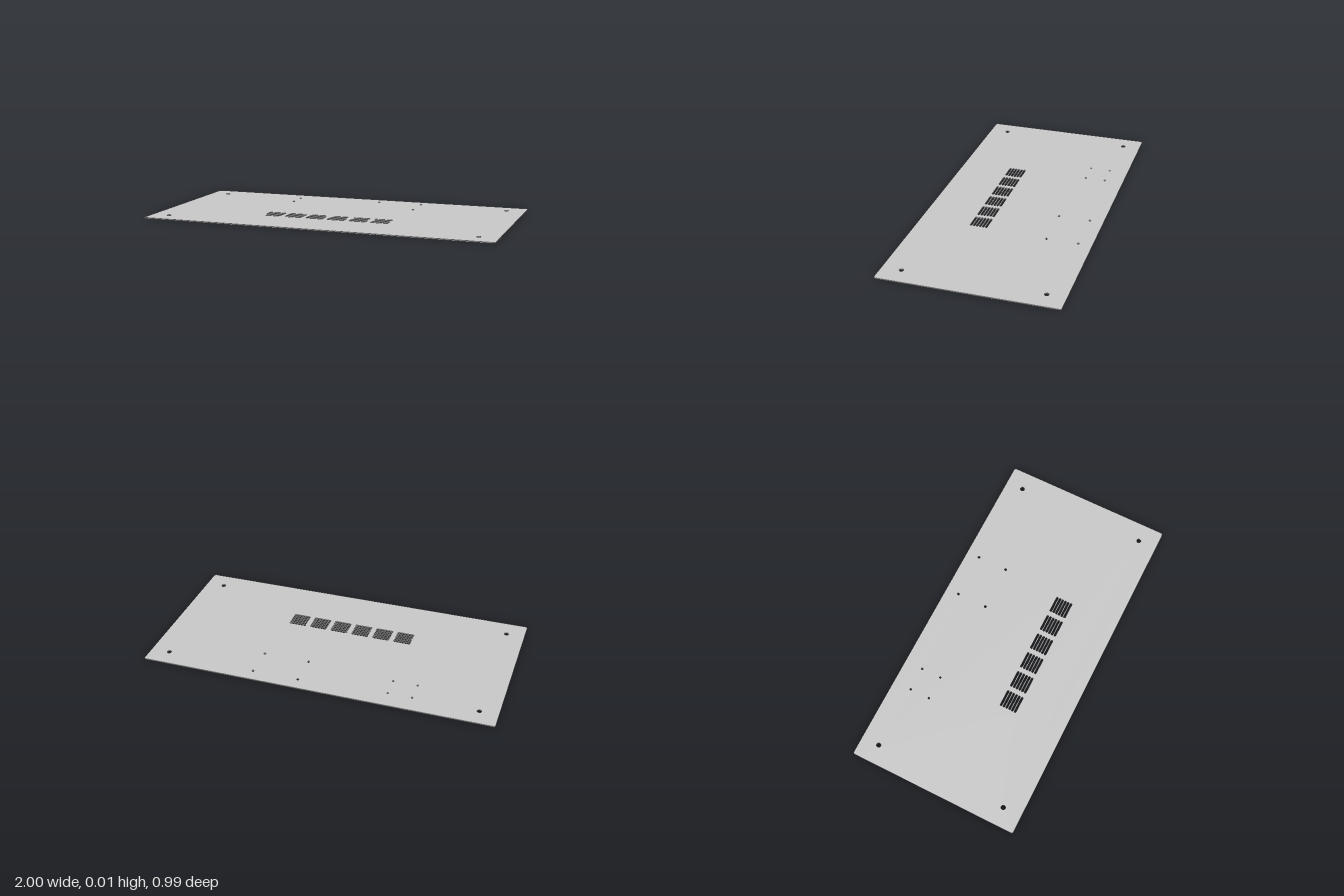
import * as THREE from 'three';

const WIDTH = 2, DEPTH = 0.99, THICK = 0.006, CORNER = 0.013;

// Stadium / rounded rectangle outline centred on (x, z)
function roundedRect(path, x, z, w, d, r) {
  const a = w / 2 - r, b = d / 2 - r;
  path.absarc(x + a, z + b, r, 0, Math.PI / 2);
  path.absarc(x - a, z + b, r, Math.PI / 2, Math.PI);
  path.absarc(x - a, z - b, r, Math.PI, Math.PI * 1.5);
  path.absarc(x + a, z - b, r, Math.PI * 1.5, Math.PI * 2);
  path.closePath();
  return path;
}

export function createModel() {
  const group = new THREE.Group();
  group.name = 'ventedPanel';

  const outline = roundedRect(new THREE.Shape(), 0, 0, WIDTH, DEPTH, CORNER);
  const drill = (xs, zs, r) => {
    for (const x of xs) for (const z of zs) {
      outline.holes.push(new THREE.Path().absarc(x, z, r, 0, Math.PI * 2, true));
    }
  };

  // Corner mounting holes and two groups of small screw holes
  drill([-0.895, 0.892], [-0.39, 0.385], 0.012);
  drill([-0.53, -0.394], [-0.386, -0.27], 0.005);
  drill([0.107, 0.37], [-0.417, -0.24], 0.006);

  // Six banks of ventilation slots
  for (let bank = 0; bank < 6; bank++) {
    for (let row = 0; row < 6; row++) {
      const x = -0.338 + bank * 0.1275, z = 0.112 + row * 0.0176;
      outline.holes.push(roundedRect(new THREE.Path(), x, z, 0.098, 0.0105, 0.005));
    }
  }

  // Extrude, then lay flat with the underside on y = 0
  const geometry = new THREE.ExtrudeGeometry(outline, { depth: THICK, bevelEnabled: false, curveSegments: 10 });
  geometry.rotateX(Math.PI / 2);
  geometry.translate(0, THICK, 0);

  const panel = new THREE.Mesh(geometry, new THREE.MeshStandardMaterial({ color: 0xcccccc }));
  panel.name = 'panel';
  group.add(panel);
  return group;
}
